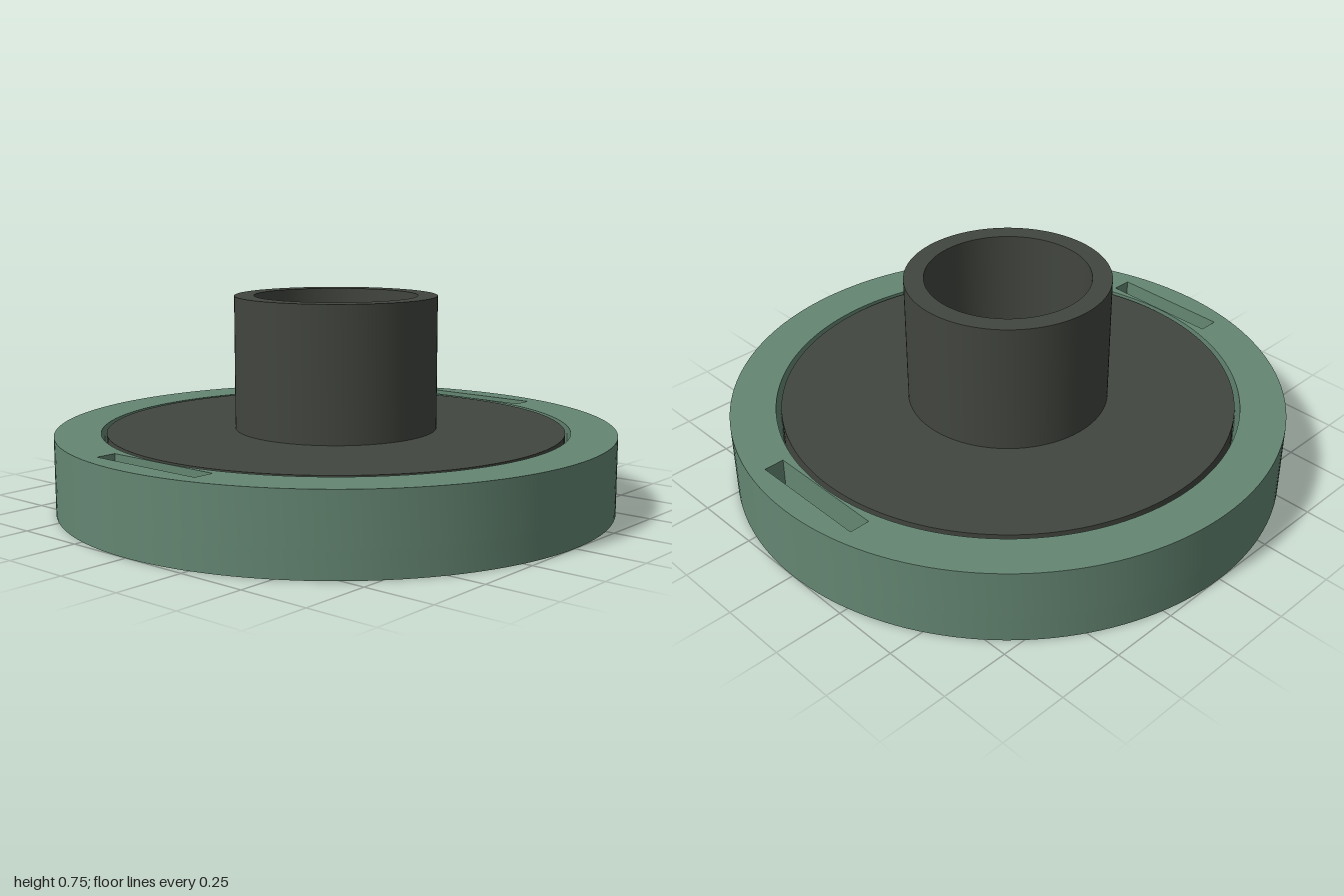
import * as THREE from 'three';
import { toCreasedNormals } from 'three/addons/utils/BufferGeometryUtils.js';

const BASE_TOP = 0.093, RING_TOP = 0.275, HUB_TOP = 0.75;
const OUTER = 1, INNER = 0.837;

// Extrude a plan shape upward from y0 to y1, smooth on curves, sharp on edges
function slab(shape, y0, y1) {
  const geo = new THREE.ExtrudeGeometry(shape, { depth: y1 - y0, bevelEnabled: false, curveSegments: 80 });
  geo.rotateX(-Math.PI / 2);
  geo.translate(0, y0, 0);
  return toCreasedNormals(geo, 0.5);
}

function disc(radius, Type = THREE.Shape) {
  const s = new Type();
  s.absarc(0, 0, radius, 0, Math.PI * 2, false);
  return s;
}

export function createModel() {
  const green = new THREE.MeshStandardMaterial({ color: 0x648672 });
  green.name = 'green';
  const charcoal = new THREE.MeshStandardMaterial({ color: 0x42463f });
  charcoal.name = 'charcoal';

  const model = new THREE.Group();
  model.name = 'flangedHub';
  const add = (name, geo, mat) => {
    const mesh = new THREE.Mesh(geo, mat);
    mesh.name = name;
    model.add(mesh);
  };

  // Lower ring layer, with a straight-edged tab at front and back
  const w = 0.273, tabZ = 0.638;
  const a = Math.acos(w / INNER), rimZ = INNER * Math.sin(a);
  const opening = new THREE.Path();
  opening.moveTo(w, rimZ);
  opening.lineTo(w, tabZ);
  opening.lineTo(-w, tabZ);
  opening.lineTo(-w, rimZ);
  opening.absarc(0, 0, INNER, Math.PI - a, Math.PI + a, false);
  opening.lineTo(-w, -tabZ);
  opening.lineTo(w, -tabZ);
  opening.lineTo(w, -rimZ);
  opening.absarc(0, 0, INNER, -a, a, false);
  const base = disc(OUTER);
  base.holes.push(opening);
  add('ringBaseWithTabs', slab(base, 0, BASE_TOP), green);

  // Upper ring layer, with a blind slot on each side
  const upper = disc(OUTER);
  upper.holes.push(disc(INNER, THREE.Path));
  for (const side of [-1, 1]) {
    const [x0, x1, z] = [0.842 * side, 0.916 * side, 0.227];
    upper.holes.push(new THREE.Path([
      new THREE.Vector2(x0, -z), new THREE.Vector2(x1, -z),
      new THREE.Vector2(x1, z), new THREE.Vector2(x0, z),
    ]));
  }
  add('slottedRing', slab(upper, BASE_TOP, RING_TOP), green);

  // Flange disc and bored tube in one turned profile
  const profile = [
    [0.292, BASE_TOP], [0.818, BASE_TOP], [0.818, RING_TOP], [0.362, RING_TOP],
    [0.362, HUB_TOP], [0.292, HUB_TOP], [0.292, BASE_TOP],
  ].map(([r, y]) => new THREE.Vector2(r, y));
  add('flangeAndTube', toCreasedNormals(new THREE.LatheGeometry(profile, 128), 0.5), charcoal);

  return model;
}
